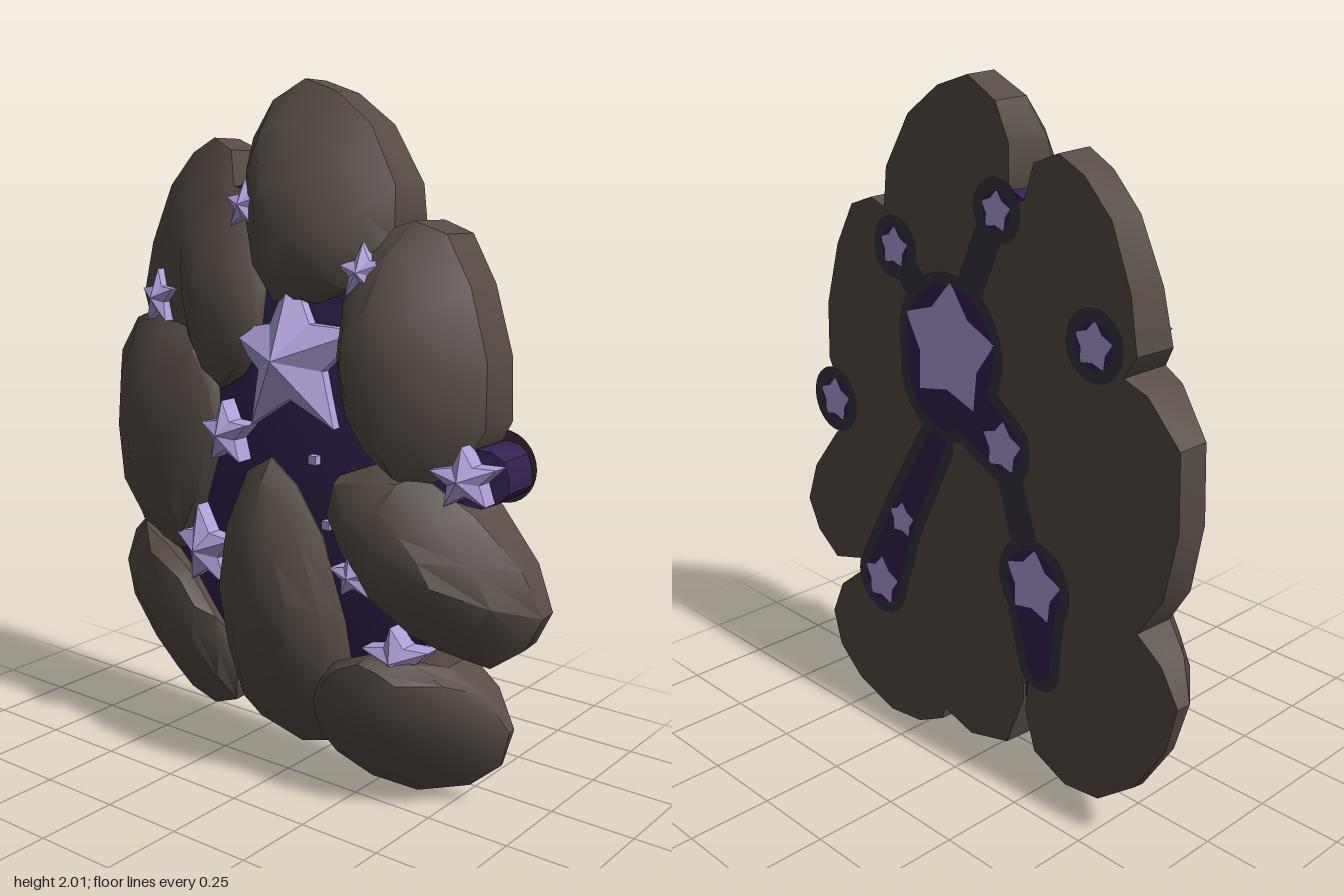
import * as THREE from 'three';
import { toCreasedNormals } from 'three/addons/utils/BufferGeometryUtils.js';

const material = (name, color) => {
  const m = new THREE.MeshStandardMaterial({ color });
  m.name = name;
  return m;
};

const BACK = -0.175;
// Height of the gently domed wall that the rocks and crystals follow
const dome = (x, y) => 0.1 - 0.17 * ((x / 0.75) ** 2 + (y - 1) ** 2);

// Closed solid from stacked loops of [x, y, z], capped by a back centre and a front apex
function loft(loops, backCentre, apex, crease) {
  const n = loops[0].length;
  const pos = [...loops.flat(), backCentre, apex].flat();
  const back = n * loops.length, front = back + 1, last = back - n;
  const index = [];
  for (let i = 0; i < n; i++) {
    const j = (i + 1) % n;
    index.push(back, j, i, front, last + i, last + j);
    for (let k = 0; k < loops.length - 1; k++) {
      const a = k * n + i, b = k * n + j;
      index.push(a, b, b + n, a, b + n, a + n);
    }
  }
  const g = new THREE.BufferGeometry();
  g.setAttribute('position', new THREE.Float32BufferAttribute(pos, 3));
  g.setIndex(index);
  return toCreasedNormals(g, crease);
}

// Boulder: tilted, slightly squared egg outline, flat back, low rim,
// and a rounded front whose crown leans towards the middle of the wall
function rockGeometry(cx, cy, rx, ry, tilt, taper, peak) {
  const soften = v => Math.sign(v) * Math.abs(v) ** 0.9;
  const sides = 12;
  const leanX = -0.16 * cx, leanY = 0.16 * (1 - cy);
  const ring = (scale, f) => Array.from({ length: sides }, (_, i) => {
    const a = i * 2 * Math.PI / sides + Math.PI / 2 - tilt * 0.6;
    const c = soften(Math.cos(a)), s = soften(Math.sin(a));
    const bump = 1 + 0.025 * Math.sin(i * 2.7 + cx * 9);
    const u = rx * c * (1 - taper * s) * bump, v = ry * s * bump;
    const dx = u * Math.cos(tilt) - v * Math.sin(tilt);
    const dy = u * Math.sin(tilt) + v * Math.cos(tilt);
    const rim = dome(cx + dx, cy + dy) - 0.01;
    const q = scale + (f > 0 ? 0.04 * Math.sin(i * 1.9 + cy * 7) : 0);
    return [cx + dx * q + leanX * f, cy + dy * q + leanY * f, f < 0 ? BACK : rim + (peak - rim) * f];
  });
  const backRing = ring(0.985, 0).map(([x, y]) => [x, y, BACK]);
  return loft([backRing, ring(1, 0), ring(0.8, 0.5), ring(0.46, 0.9)],
    [cx, cy, BACK], [cx + leanX, cy + leanY, peak], 0.6);
}

const starPoints = (x, y, r, inner) => Array.from({ length: 10 }, (_, i) => {
  const a = Math.PI / 2 + 0.07 + i * Math.PI / 5, q = i % 2 ? r * inner : r;
  return [x + q * Math.cos(a), y + q * Math.sin(a)];
});

// Five-pointed crystal with a raised centre, following the dome
function starGeometry(x, y, r) {
  const lift = Math.max(0.012, 0.06 - r * 0.22);
  const pts = starPoints(x, y, r, 0.48);
  const loop = d => pts.map(([px, py]) => [px, py, dome(px, py) + d]);
  const z = dome(x, y);
  return loft([loop(-0.02), loop(lift)], [x, y, z - 0.02], [x, y, z + lift + r * 0.35], 0.1);
}

// Flat tapered capsule
function veinGeometry(x1, y1, r1, x2, y2, r2) {
  const a = Math.atan2(y2 - y1, x2 - x1), h = Math.PI / 2;
  const s = new THREE.Shape();
  s.absarc(x1, y1, r1, a + h, a + 3 * h, false);
  s.absarc(x2, y2, r2, a - h, a + h, false);
  return new THREE.ShapeGeometry(s, 8);
}

// Centre x, y, half width, half height, tilt, taper, peak
const ROCKS = {
  topRock: [0.08, 1.71, 0.23, 0.31, 0.5, 0.15, 0.12],
  upperLeftBackRock: [-0.375, 1.54, 0.19, 0.31, -0.25, 0.2, 0.05],
  upperLeftFrontRock: [-0.215, 1.44, 0.18, 0.29, 0.2, -0.1, 0.125],
  leftRock: [-0.475, 0.97, 0.28, 0.38, -0.08, -0.2, 0.135],
  lowerLeftRock: [-0.485, 0.37, 0.225, 0.325, 0.68, 0, 0.1],
  centreRock: [0.01, 0.52, 0.225, 0.455, 0, 0.3, 0.178],
  lowerRightRock: [0.38, 0.22, 0.285, 0.215, 0.22, 0, 0.115],
  rightRock: [0.485, 0.73, 0.195, 0.33, 0.8, 0, 0.14],
  upperRightRock: [0.43, 1.3, 0.185, 0.35, 0.15, 0.12, 0.145],
};

// Centre x, y, radius
const STARS = [
  [0.08, 1.265, 0.235], [-0.11, 1.67, 0.07], [0.3, 1.51, 0.075],
  [-0.455, 1.385, 0.083], [-0.13, 1.03, 0.095], [0.6, 0.99, 0.088],
  [-0.25, 0.66, 0.135], [0.3, 0.685, 0.07], [0.405, 0.45, 0.1],
];
// Veins join stars and three plain knots
const KNOTS = [...STARS, [-0.27, 0.42, 0.06], [0.14, 0.97, 0.05], [0.1, 1.17, 0.2]];
const PURPLE_LINKS = [[11, 4], [6, 9], [10, 7], [7, 8]];
const ASHEN_LINKS = [[0, 1], [0, 2], [11, 10], [4, 6]];

export function createModel() {
  const rock = material('brown rock', 0x564b44);
  const purple = material('deep purple', 0x33214f);
  const ash = material('ashen purple', 0x3a313f);
  const lilac = material('lilac crystal', 0xb0a0da);
  ash.side = purple.side = lilac.side = THREE.DoubleSide;

  const model = new THREE.Group();
  model.name = 'crystalRockWall';
  const add = (name, geometry, mat, parent = model) => {
    const mesh = new THREE.Mesh(geometry, mat);
    mesh.name = name;
    parent.add(mesh);
    return mesh;
  };
  const group = name => {
    const g = new THREE.Group();
    g.name = name;
    model.add(g);
    return g;
  };

  // Boulders
  const rocks = group('rocks');
  for (const [name, spec] of Object.entries(ROCKS)) add(name, rockGeometry(...spec), rock, rocks);

  // Purple bed showing in the gaps between the boulders
  const oval = (s, z) => Array.from({ length: 32 }, (_, i) => {
    const a = i * Math.PI / 16, x = 0.75 * s * Math.cos(a), y = 1 + s * Math.sin(a);
    return [x, y, z ?? dome(x, y) - 0.015];
  });
  const bedLoops = [oval(0.76, BACK + 0.01), ...[0.76, 0.6, 0.45, 0.3, 0.15].map(s => oval(s))];
  add('crevice', loft(bedLoops, [0, 1, BACK + 0.01], [0, 1, 0.085], 0.6), purple);
  add('rightLedge', rockGeometry(0.615, 0.985, 0.075, 0.08, 0.3, 0, 0), purple);
  add('upperNook', rockGeometry(0.32, 1.54, 0.045, 0.07, 0, 0, 0.05), ash);

  // Rock plate closing the back
  const backing = add('backing', new THREE.CircleGeometry(0.72, 32), rock);
  backing.scale.x = 0.75;
  backing.rotation.y = Math.PI;
  backing.position.set(0, 1, BACK);

  // Star crystals, each with a flat one on the back
  const stars = group('stars'), backStars = group('backStars');
  for (const [x, y, r] of STARS) {
    add('star', starGeometry(x, y, r), lilac, stars);
    const s = new THREE.Shape(starPoints(x, y, r * 0.8, 0.65).map(p => new THREE.Vector2(...p)));
    add('backStar', new THREE.ShapeGeometry(s), lilac, backStars).position.z = BACK - 0.005;
  }

  // Veins on the back, with an ashen border
  const veins = group('backVeins');
  const border = 0.035;
  const addBorder = (x1, y1, r1, x2, y2, r2) =>
    add('veinBorder', veinGeometry(x1, y1, r1 + border, x2, y2, r2 + border), ash, veins).position.z = BACK - 0.0015;
  const addVein = (...ends) => {
    addBorder(...ends);
    add('vein', veinGeometry(...ends), purple, veins).position.z = BACK - 0.003;
  };
  const linkEnds = link => link.flatMap(i => [KNOTS[i][0], KNOTS[i][1], Math.min(KNOTS[i][2] * 0.75, 0.09)]);
  for (const [x, y, r] of KNOTS) addVein(x, y, r * 0.75, x, y, r * 0.75);
  for (const link of PURPLE_LINKS) addVein(...linkEnds(link));
  for (const link of ASHEN_LINKS) {
    const [x1, y1, , x2, y2] = linkEnds(link);
    addBorder(x1, y1, 0.015, x2, y2, 0.015);
  }

  // Small crystal chips
  const chips = group('chips');
  for (const [x, y] of [[0.16, 0.99], [-0.36, 0.51], [-0.32, 0.78], [-0.02, 1.53], [0.2, 0.81]])
    add('chip', new THREE.BoxGeometry(0.025, 0.025, 0.03), lilac, chips).position.set(x, y, dome(x, y) - 0.01);

  return model;
}
